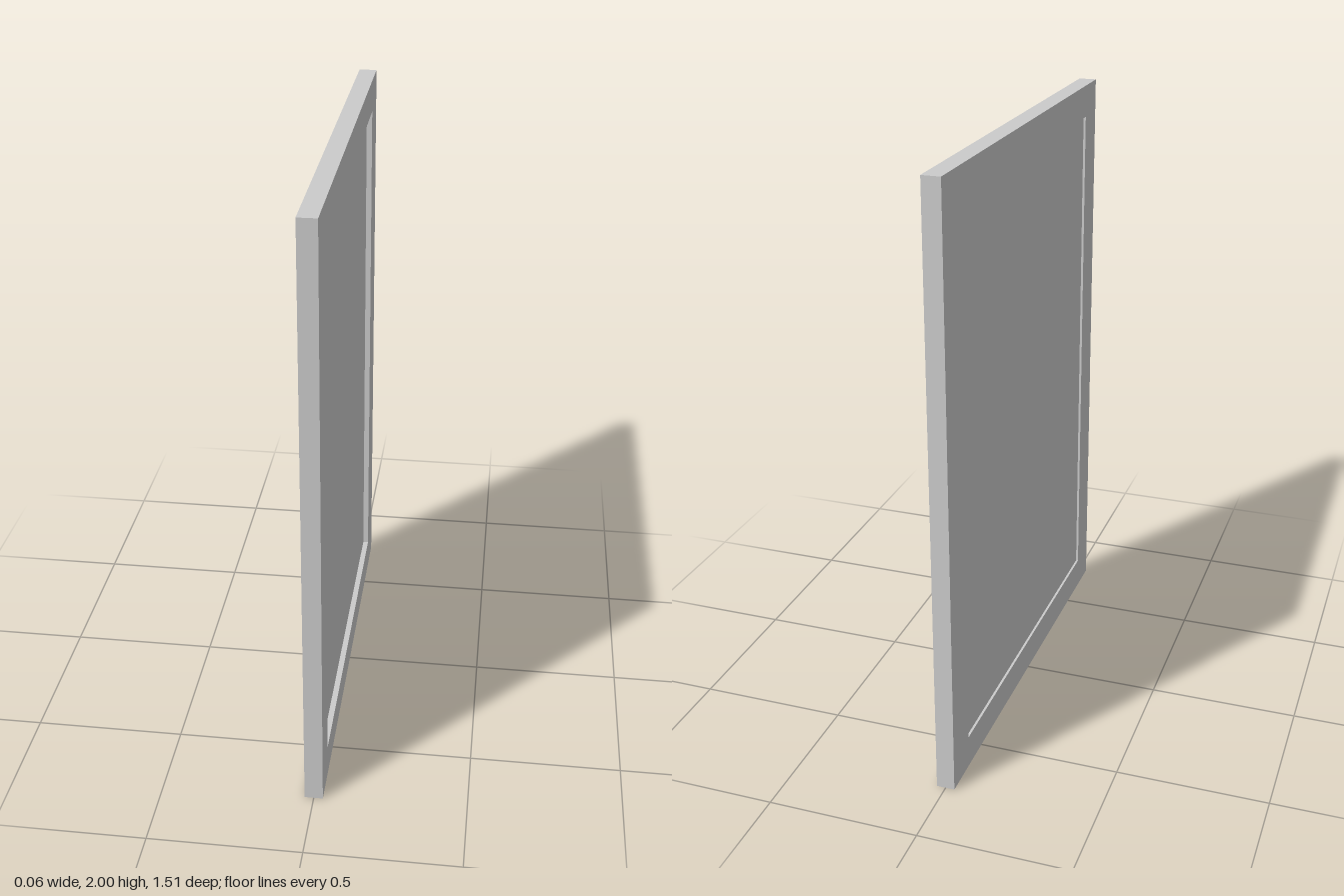
import * as THREE from 'three';

// Overall size and the opening (slightly off centre in z)
const THICK = 0.06, HALF_Z = 0.754, HEIGHT = 2;
const OPEN = { z0: -0.62, z1: 0.633, y0: 0.11, y1: 1.89 };
// Panel faces: deep recess on +x, shallow recess on -x
const PANEL = { x0: -0.022, x1: 0.011 };

function rectangle(path, u0, u1, v0, v1) {
  path.moveTo(u0, v0);
  path.lineTo(u1, v0);
  path.lineTo(u1, v1);
  path.lineTo(u0, v1);
  path.closePath();
  return path;
}

export function createModel() {
  const group = new THREE.Group();
  const material = new THREE.MeshStandardMaterial({ color: 0xcccccc });

  // Frame: outline drawn in (-z, y), extruded, then turned so the depth runs along x
  const outline = rectangle(new THREE.Shape(), -HALF_Z, HALF_Z, 0, HEIGHT);
  outline.holes.push(rectangle(new THREE.Path(), -OPEN.z1, -OPEN.z0, OPEN.y0, OPEN.y1));
  const frameGeometry = new THREE.ExtrudeGeometry(outline, { depth: THICK, bevelEnabled: false });
  frameGeometry.translate(0, 0, -THICK / 2);
  frameGeometry.rotateY(Math.PI / 2);
  const frame = new THREE.Mesh(frameGeometry, material);
  frame.name = 'frame';
  group.add(frame);

  // Recessed panel filling the opening
  const panel = new THREE.Mesh(
    new THREE.BoxGeometry(PANEL.x1 - PANEL.x0, OPEN.y1 - OPEN.y0, OPEN.z1 - OPEN.z0),
    material
  );
  panel.position.set((PANEL.x0 + PANEL.x1) / 2, (OPEN.y0 + OPEN.y1) / 2, (OPEN.z0 + OPEN.z1) / 2);
  panel.name = 'panel';
  group.add(panel);

  return group;
}
